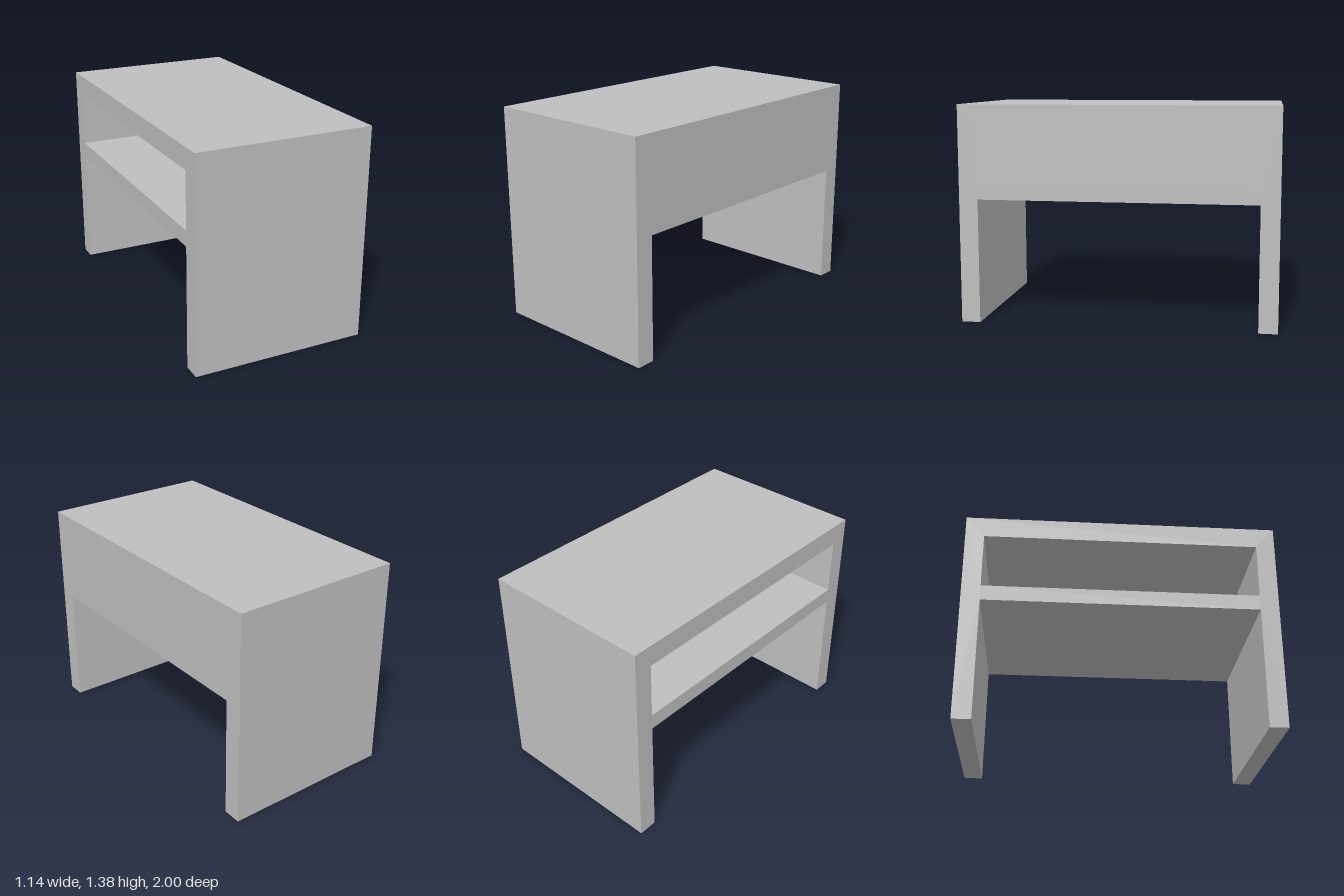
import * as THREE from 'three';

const WIDTH = 1.14, HEIGHT = 1.385, HALF_LENGTH = 1;
const INNER = 0.88;                       // inner face of each leg panel
const UNDERSIDE = 0.79, SHELF_TOP = 0.89, TOP_UNDERSIDE = 1.25;
const BACK_THICKNESS = 0.12;

export function createModel() {
  const model = new THREE.Group();
  model.name = 'desk';
  const grey = new THREE.MeshStandardMaterial({ color: 0xbfbfbf });
  grey.name = 'grey';

  // Side profile: two leg panels joined by the shelf and the top
  const profile = new THREE.Shape([
    [-HALF_LENGTH, 0], [-INNER, 0], [-INNER, UNDERSIDE], [INNER, UNDERSIDE],
    [INNER, 0], [HALF_LENGTH, 0], [HALF_LENGTH, HEIGHT], [-HALF_LENGTH, HEIGHT],
  ].map(([x, y]) => new THREE.Vector2(x, y)));

  // Open storage compartment between shelf and top
  profile.holes.push(new THREE.Path([
    [-INNER, SHELF_TOP], [-INNER, TOP_UNDERSIDE], [INNER, TOP_UNDERSIDE], [INNER, SHELF_TOP],
  ].map(([x, y]) => new THREE.Vector2(x, y))));

  const frameGeometry = new THREE.ExtrudeGeometry(profile, { depth: WIDTH, bevelEnabled: false });
  frameGeometry.translate(0, 0, -WIDTH / 2).rotateY(Math.PI / 2);
  const frame = new THREE.Mesh(frameGeometry, grey);
  frame.name = 'frame';
  model.add(frame);

  // Panel closing the compartment on the +x side
  const panel = new THREE.Mesh(
    new THREE.BoxGeometry(BACK_THICKNESS, TOP_UNDERSIDE - SHELF_TOP, INNER * 2), grey);
  panel.name = 'compartmentBack';
  panel.position.set((WIDTH - BACK_THICKNESS) / 2, (TOP_UNDERSIDE + SHELF_TOP) / 2, 0);
  model.add(panel);

  return model;
}
